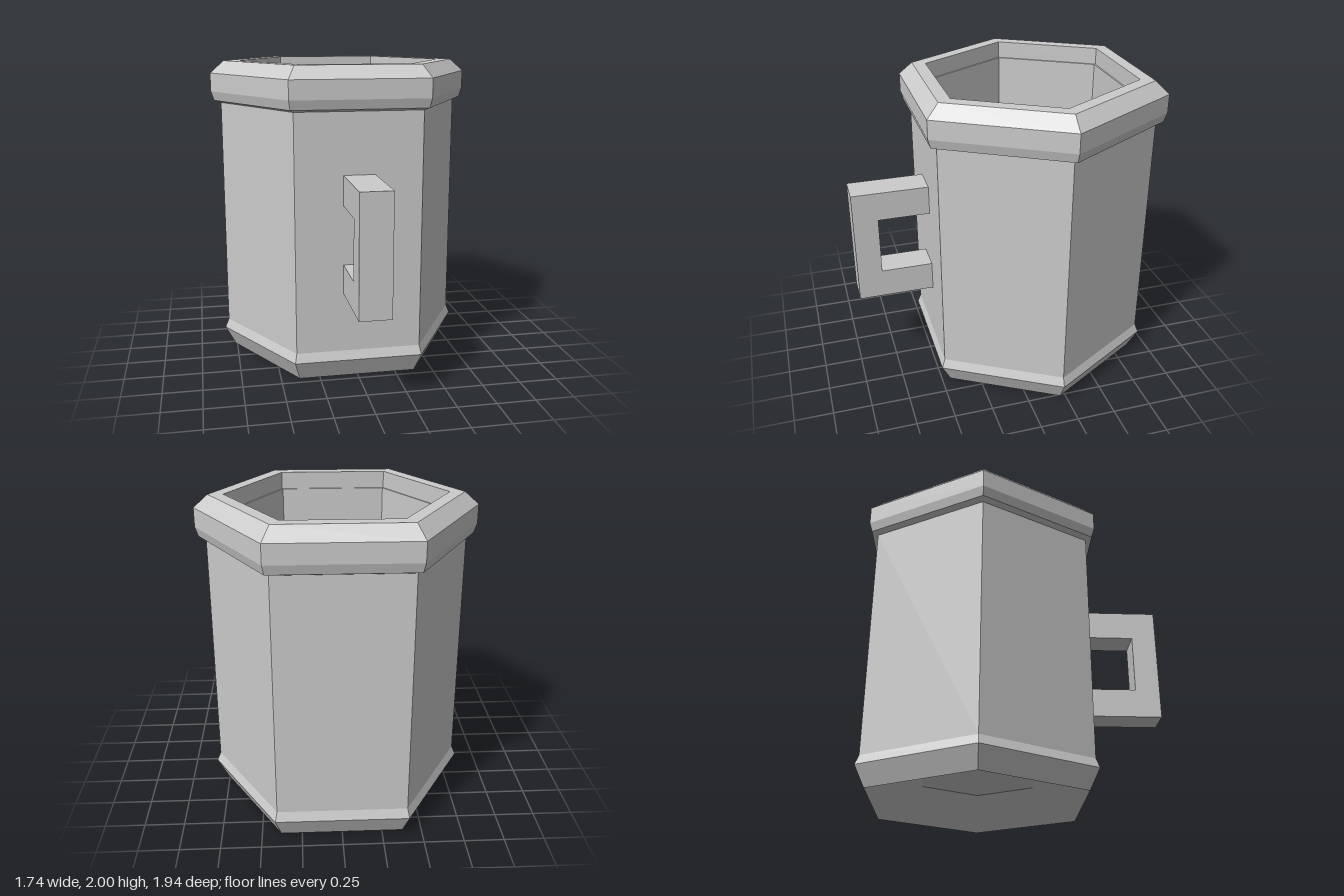
import * as THREE from 'three';

const material = new THREE.MeshStandardMaterial({ color: 0xcccccc, flatShading: true });
const CUP_Z = -0.215; // the cup sits behind centre to make room for the handle

// Hexagonal ring of faces from a [radius, height] profile, corners on the x axis
function hexPart(name, profile) {
  const points = profile.map(([r, y]) => new THREE.Vector2(r, y));
  const mesh = new THREE.Mesh(new THREE.LatheGeometry(points, 6, Math.PI / 2), material);
  mesh.name = name;
  mesh.position.z = CUP_Z;
  return mesh;
}

export function createModel() {
  const group = new THREE.Group();
  group.name = 'mug';

  // Base: domed underside and flared foot
  group.add(hexPart('base', [
    [0, 0.18], [0.42, 0.18], [0.76, 0], [0.83, 0.13], [0.805, 0.19],
  ]));

  // Straight outer wall
  group.add(hexPart('outerWall', [[0.805, 0.19], [0.805, 1.725]]));

  // Chamfered rim with a small ledge inside
  group.add(hexPart('rim', [
    [0.805, 1.725], [0.85, 1.74], [0.87, 1.8], [0.87, 1.92], [0.78, 2],
    [0.686, 2], [0.686, 1.89], [0.674, 1.89],
  ]));

  // Inner wall and raised floor
  group.add(hexPart('interior', [
    [0.674, 1.89], [0.674, 0.12], [0.42, 0.28], [0, 0.28],
  ]));

  // Square C-shaped handle, drawn in the z-y plane and extruded across x
  const outline = [
    [0.47, 0.575], [0.975, 0.575], [0.975, 1.335], [0.47, 1.335],
    [0.47, 1.145], [0.815, 1.145], [0.815, 0.765], [0.47, 0.765],
  ];
  const shape = new THREE.Shape(outline.map(([z, y]) => new THREE.Vector2(z, y)));
  const handleGeometry = new THREE.ExtrudeGeometry(shape, { depth: 0.2, bevelEnabled: false });
  handleGeometry.rotateY(-Math.PI / 2).translate(0.1, 0, 0);
  const handle = new THREE.Mesh(handleGeometry, material);
  handle.name = 'handle';
  group.add(handle);

  return group;
}
